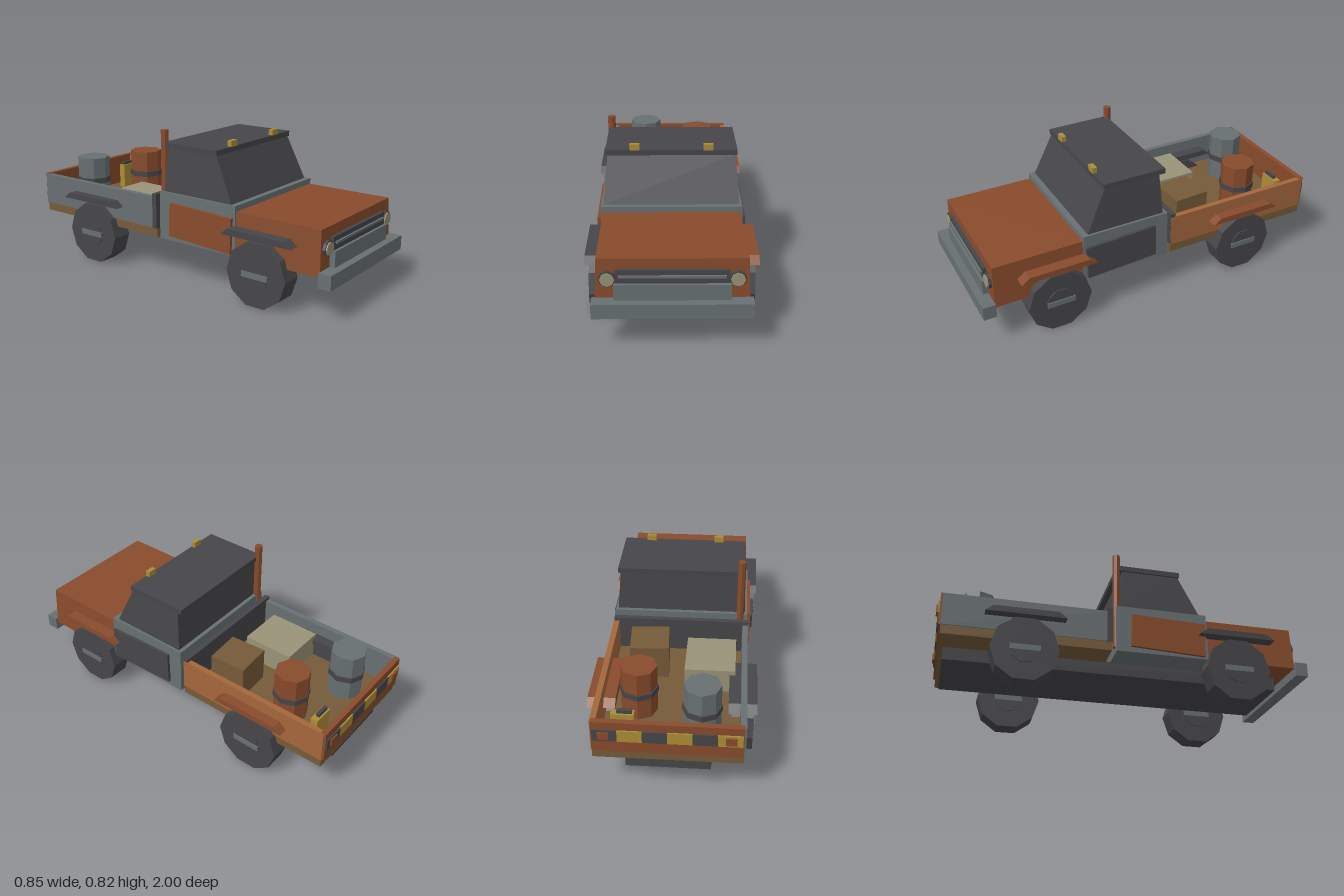
import * as THREE from 'three';

const mat = (name, color) => Object.assign(new THREE.MeshStandardMaterial({ color }), { name });
const M = {
  rust: mat('rust', 0x884b2c),
  orange: mat('faded orange', 0xa4663b),
  grey: mat('blue grey', 0x687072),
  dark: mat('charcoal', 0x464549),
  yellow: mat('yellow', 0xab8c37),
  beige: mat('beige', 0x999377),
  brown: mat('brown', 0x755a39),
};

export function createModel() {
  const root = new THREE.Group();
  root.name = 'pickupTruck';

  const add = (name, geo, material, parent = root) => {
    const mesh = new THREE.Mesh(geo, material);
    mesh.name = name;
    parent.add(mesh);
    return mesh;
  };
  // Box given by its limits
  const box = (name, m, x0, x1, y0, y1, z0, z1, parent) =>
    add(name, new THREE.BoxGeometry(x1 - x0, y1 - y0, z1 - z0)
      .translate((x0 + x1) / 2, (y0 + y1) / 2, (z0 + z1) / 2), m, parent);
  // Box with different bottom and top rectangles: [halfX, zBack, zFront]
  const taper = (name, m, y0, y1, bottom, top) => {
    const g = new THREE.BoxGeometry(2, 1, 1);
    const p = g.attributes.position;
    for (let i = 0; i < p.count; i++) {
      const up = p.getY(i) > 0;
      const [hx, zb, zf] = up ? top : bottom;
      p.setXYZ(i, p.getX(i) * hx, up ? y1 : y0, p.getZ(i) > 0 ? zf : zb);
    }
    g.computeVertexNormals();
    return add(name, g, m);
  };
  // Side profile in (z, y), extruded from x0 to x1
  const profile = (name, m, pts, x0, x1) => {
    const shape = new THREE.Shape(pts.map(([z, y]) => new THREE.Vector2(z, y)));
    const g = new THREE.ExtrudeGeometry(shape, { depth: x1 - x0, bevelEnabled: false });
    return add(name, g.rotateY(-Math.PI / 2).translate(x1, 0, 0), m);
  };
  // Faceted cylinder, axis along y
  const faceted = (r, h, n) => {
    const g = new THREE.CylinderGeometry(r, r, h, n).toNonIndexed();
    g.computeVertexNormals();
    return g;
  };

  // Chassis
  box('chassis', M.dark, -0.21, 0.21, 0.155, 0.23, -0.95, 0.88);

  // Hood and front end
  taper('hood', M.rust, 0.225, 0.46, [0.37, 0.42, 0.932], [0.358, 0.42, 0.925]);
  box('grille', M.dark, -0.27, 0.27, 0.335, 0.407, 0.91, 0.945);
  box('grilleBar', M.grey, -0.253, 0.253, 0.37, 0.382, 0.94, 0.955);
  box('lowerGrillePanel', M.grey, -0.278, 0.278, 0.25, 0.338, 0.91, 0.96);
  box('bumper', M.grey, -0.385, 0.385, 0.178, 0.255, 0.93, 1.0);
  for (const s of [-1, 1]) {
    add('headlightRim', faceted(0.042, 0.03, 8).rotateX(Math.PI / 2).translate(s * 0.308, 0.358, 0.928), M.dark);
    add('headlightLens', faceted(0.035, 0.008, 8).rotateX(Math.PI / 2).translate(s * 0.308, 0.358, 0.946), M.beige);
  }

  // Cab
  taper('cabBody', M.grey, 0.225, 0.49, [0.372, -0.067, 0.437], [0.368, -0.067, 0.432]);
  taper('cabWindows', M.dark, 0.49, 0.726, [0.355, -0.045, 0.4], [0.335, -0.028, 0.29]);
  box('roof', M.dark, -0.345, 0.345, 0.725, 0.754, -0.06, 0.297);
  const door = [[0.415, 0.235], [0.01, 0.255], [0.015, 0.44], [0.42, 0.425]];
  profile('leftDoor', M.dark, door, 0.36, 0.386);
  profile('rightDoor', M.rust, door, -0.388, -0.36);
  for (const s of [-1, 1])
    box('roofLight', M.yellow, s * 0.193 - 0.026, s * 0.193 + 0.026, 0.753, 0.785, 0.274, 0.3);
  add('exhaustStack', faceted(0.021, 0.56, 8).translate(-0.33, 0.54, -0.06), M.rust);

  // Cargo bed
  box('bedFloor', M.brown, -0.368, 0.368, 0.225, 0.275, -0.972, -0.092);
  box('bedLeftWall', M.orange, 0.342, 0.372, 0.274, 0.45, -0.973, -0.09);
  box('bedRightWall', M.grey, -0.374, -0.344, 0.274, 0.45, -0.973, -0.09);
  box('bedFrontWall', M.dark, -0.376, 0.37, 0.274, 0.468, -0.118, -0.089);
  box('tailgate', M.rust, -0.366, 0.366, 0.274, 0.453, -0.984, -0.955);
  for (let i = 0; i < 6; i++)
    box('tailgateStripe', i % 2 ? M.dark : M.yellow, -0.36 + i * 0.12, -0.24 + i * 0.12, 0.345, 0.41, -0.992, -0.984);
  for (const s of [-1, 1])
    box('tailLight', M.rust, s * 0.305 - 0.027, s * 0.305 + 0.027, 0.358, 0.4, -1.0, -0.991);

  // Wheels and fenders
  for (const [end, zc] of [['front', 0.59], ['rear', -0.55]]) {
    for (const s of [-1, 1]) {
      const wheel = new THREE.Group();
      wheel.name = end + 'Wheel';
      wheel.position.set(s * 0.355, 0.169, zc);
      root.add(wheel);
      add('tyre', faceted(0.177, 0.116, 10).rotateZ(Math.PI / 2), M.dark, wheel);
      add('hub', faceted(0.08, 0.128, 10).rotateZ(Math.PI / 2), M.dark, wheel);
      box('hubBar', M.grey, -0.07, 0.07, -0.015, 0.015, -0.078, 0.078, wheel);
      const flare = [[zc - 0.21, 0.352], [zc + 0.21, 0.352], [zc + 0.168, 0.385], [zc - 0.168, 0.385]];
      profile(end + 'Fender', s > 0 ? M.rust : M.dark, flare, s > 0 ? 0.282 : -0.427, s > 0 ? 0.425 : -0.284);
    }
  }

  // Cargo
  for (const [m, x, z] of [[M.grey, -0.157, -0.785], [M.rust, 0.17, -0.652]]) {
    const barrel = new THREE.Group();
    barrel.name = 'barrel';
    barrel.position.set(x, 0.411, z);
    root.add(barrel);
    add('barrelBody', faceted(0.094, 0.276, 8), m, barrel);
    add('barrelBand', faceted(0.1, 0.032, 8), M.dark, barrel);
  }
  box('beigeCrate', M.beige, -0.313, -0.048, 0.274, 0.41, -0.49, -0.2);
  const crate = box('brownCrate', M.brown, -0.103, 0.103, 0, 0.19, -0.103, 0.103);
  crate.position.set(0.152, 0.274, -0.288);
  crate.rotation.y = 0.06;
  box('fuelCan', M.yellow, 0.17, 0.285, 0.274, 0.42, -0.885, -0.845);
  box('fuelCanHandle', M.dark, 0.18, 0.255, 0.418, 0.438, -0.875, -0.855);

  return root;
}
